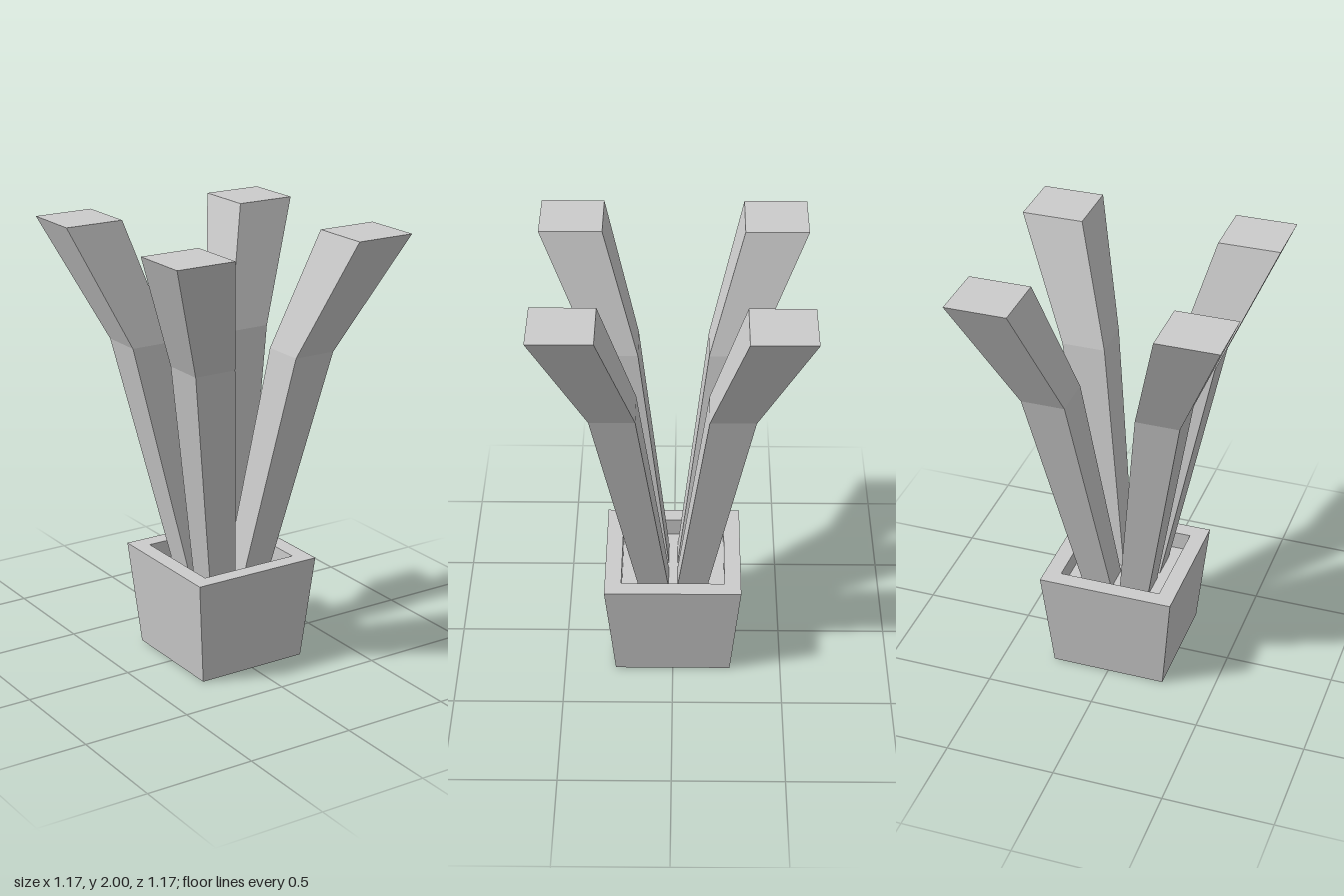
import * as THREE from 'three';

const material = new THREE.MeshStandardMaterial({ color: 0xcccccc, flatShading: true });

function addMesh(parent, name, geometry) {
  const mesh = new THREE.Mesh(geometry, material);
  mesh.name = name;
  parent.add(mesh);
  return mesh;
}

// Square solid of revolution: profile of [half width, height], bottom to top
function squareLathe(profile) {
  const points = profile.map(([half, y]) => new THREE.Vector2(half * Math.SQRT2, y));
  return new THREE.LatheGeometry(points, 4, Math.PI / 4);
}

// Bent, widening stalk in the +x +z quadrant; each level is [height, inner edge, outer edge]
function stalkGeometry(levels) {
  const geometry = new THREE.BoxGeometry(1, levels.length - 1, 1, 1, levels.length - 1, 1);
  const position = geometry.attributes.position;
  for (let i = 0; i < position.count; i++) {
    const level = Math.round(position.getY(i) + (levels.length - 1) / 2);
    const [y, inner, outer] = levels[level];
    position.setXYZ(i, position.getX(i) > 0 ? outer : inner, y, position.getZ(i) > 0 ? outer : inner);
  }
  geometry.computeVertexNormals();
  return geometry;
}

export function createModel() {
  const model = new THREE.Group();
  model.name = 'pottedPlant';

  // Tapered square pot with a flat rim and straight inner walls
  addMesh(model, 'pot', squareLathe([
    [0, 0], [0.265, 0], [0.31, 0.485], [0.235, 0.485], [0.235, 0.4],
  ]));

  // Soil filling the pot
  const soil = addMesh(model, 'soil', new THREE.PlaneGeometry(0.47, 0.47));
  soil.rotation.x = -Math.PI / 2;
  soil.position.y = 0.4;

  // Four leaves, one per corner, leaning outwards
  const leaf = stalkGeometry([[0.4, 0.02, 0.157], [1.46, 0.157, 0.355], [2, 0.31, 0.587]]);
  for (let i = 0; i < 4; i++) {
    addMesh(model, `leaf${i + 1}`, leaf).rotation.y = i * Math.PI / 2;
  }

  return model;
}
